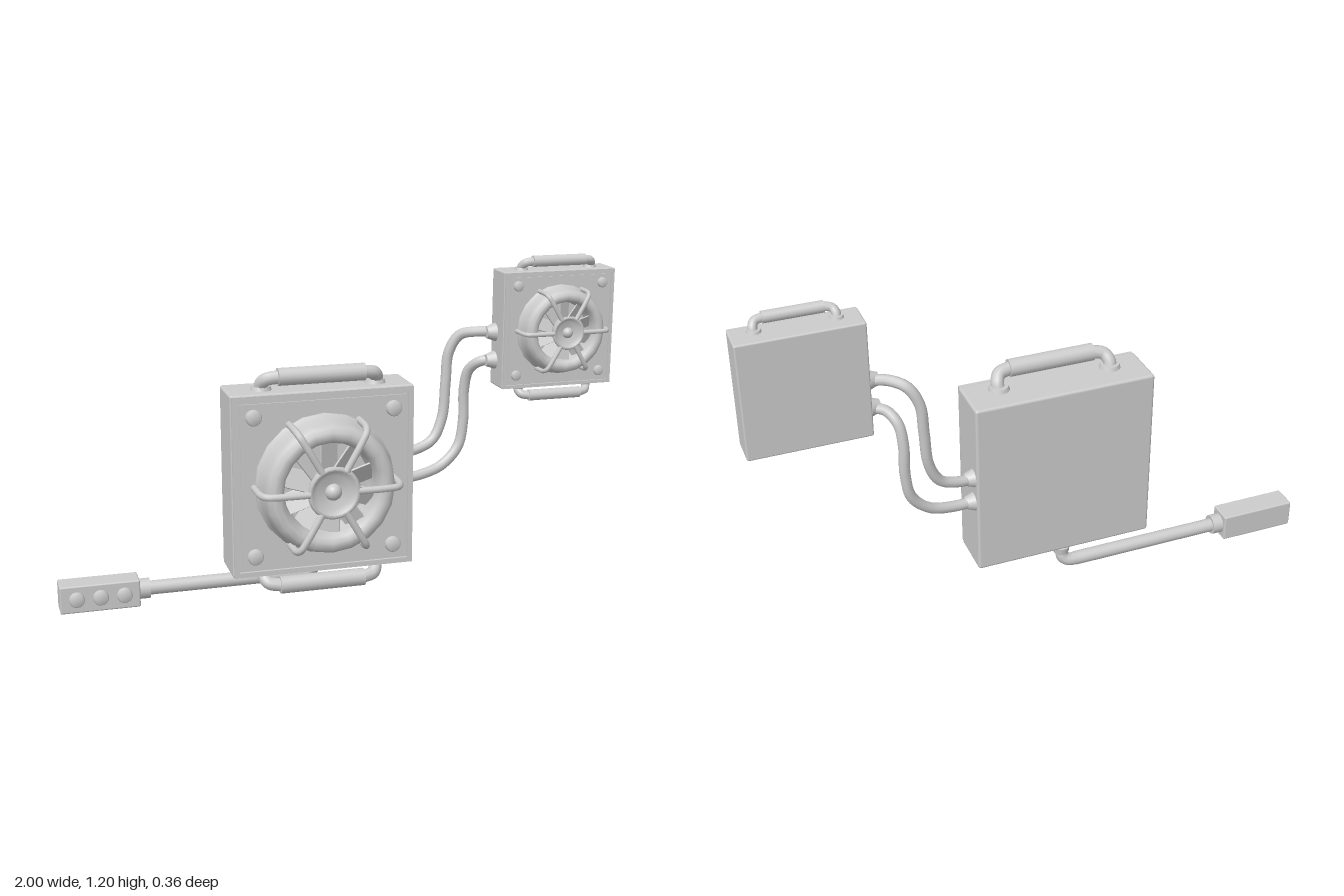
import * as THREE from 'three';
import { RoundedBoxGeometry } from 'three/addons/geometries/RoundedBoxGeometry.js';

const grey = new THREE.MeshStandardMaterial({ color: 0xcccccc });
const doubleGrey = new THREE.MeshStandardMaterial({ color: 0xcccccc, side: THREE.DoubleSide });
const V = (x, y, z) => new THREE.Vector3(x, y, z);

function add(parent, name, geometry, x = 0, y = 0, z = 0, material = grey) {
  const mesh = new THREE.Mesh(geometry, material);
  mesh.name = name;
  mesh.position.set(x, y, z);
  parent.add(mesh);
  return mesh;
}

const tube = (points, radius, steps = 32) =>
  new THREE.TubeGeometry(new THREE.CatmullRomCurve3(points), steps, radius, 10);

// Lathe turned so that its axis points along +z; profile given as [radius, z]
const latheZ = (profile, sides) =>
  new THREE.LatheGeometry(profile.map(([r, z]) => new THREE.Vector2(r, z)), sides).rotateX(Math.PI / 2);

const disc = (radius, depth) => latheZ(
  [[radius, 0], [radius, depth * 0.6], [radius * 0.8, depth], [0, depth]], 16);

const squarePath = (Path, s) => new Path(
  [[-s, -s], [s, -s], [s, s], [-s, s]].map(([x, y]) => new THREE.Vector2(x, y)));

// Lean-forward carrying handle on the upper face
function makeHandle() {
  const handle = new THREE.Group();
  handle.name = 'handle';
  const grip = new THREE.CylinderGeometry(0.031, 0.031, 0.31, 16).rotateZ(Math.PI / 2);
  add(handle, 'grip', grip, 0, 0.378, 0.056);
  for (const s of [-1, 1]) {
    add(handle, 'handleElbow', tube([
      V(s * 0.205, 0.32, 0.014), V(s * 0.207, 0.348, 0.026),
      V(s * 0.192, 0.37, 0.046), V(s * 0.15, 0.378, 0.056)], 0.024, 16));
    add(handle, 'handleFoot', new THREE.CylinderGeometry(0.033, 0.038, 0.014, 16), s * 0.205, 0.335, 0.016);
  }
  return handle;
}

// Housing with a framed panel, caged fan and two handles
function makeFanUnit(name) {
  const unit = new THREE.Group();
  unit.name = name;
  const half = 0.328;
  add(unit, 'housing', new RoundedBoxGeometry(half * 2, half * 2, 0.178, 2, 0.01), 0, 0, -0.005);

  // Raised frame and inner panel
  const frame = squarePath(THREE.Shape, half - 0.004);
  frame.holes.push(squarePath(THREE.Path, half - 0.022));
  add(unit, 'frontFrame', new THREE.ExtrudeGeometry(frame, { depth: 0.014, bevelEnabled: false }), 0, 0, 0.08);
  add(unit, 'frontPanel', new THREE.BoxGeometry(0.592, 0.592, 0.012), 0, 0, 0.084);
  for (const x of [-0.25, 0.25])
    for (const y of [-0.25, 0.25])
      add(unit, 'panelBolt', disc(0.028, 0.024), x, y, 0.089);

  // Shroud around the fan
  add(unit, 'fanShroud', latheZ([
    [0.25, 0.088], [0.25, 0.104], [0.236, 0.11], [0.234, 0.165], [0.225, 0.192],
    [0.208, 0.206], [0.188, 0.206], [0.172, 0.196], [0.163, 0.165], [0.158, 0.09]], 20),
    0, 0, 0, doubleGrey);

  // Pitched blades
  for (let i = 0; i < 10; i++) {
    const arm = new THREE.Group();
    arm.name = 'fanBladeArm';
    arm.rotation.z = (i + 0.5) * Math.PI / 5;
    add(arm, 'fanBlade', new THREE.BoxGeometry(0.1, 0.075, 0.007), 0.112, 0, 0.15).rotation.x = 0.5;
    unit.add(arm);
  }

  // Dished hub with a central cap
  add(unit, 'fanHub', latheZ([
    [0.07, 0.09], [0.075, 0.19], [0.09, 0.208], [0.094, 0.222], [0.088, 0.23],
    [0.078, 0.228], [0.06, 0.212], [0, 0.204]], 24));
  add(unit, 'hubCap', new THREE.SphereGeometry(0.03, 16, 10), 0, 0, 0.207);

  // Bent guard bars
  for (let i = 0; i < 6; i++) {
    const bar = tube([V(0.25, 0, 0.085), V(0.25, 0, 0.13), V(0.246, 0, 0.185),
      V(0.232, 0, 0.21), V(0.2, 0, 0.219), V(0.085, 0, 0.222)], 0.0125);
    add(unit, 'guardBar', bar).rotation.z = i * Math.PI / 3;
  }

  // Handles above and below
  const top = makeHandle();
  const bottom = makeHandle();
  // Half turn about z puts the second handle underneath
  bottom.rotation.z = Math.PI;
  unit.add(top, bottom);
  return unit;
}

// Conical cable socket on a side face, narrowing towards direction dir on x
function addSocket(parent, x, y, z, dir) {
  const cone = new THREE.CylinderGeometry(0.021, 0.034, 0.035, 16).rotateZ(-dir * Math.PI / 2);
  add(parent, 'cableSocket', cone, x + dir * 0.015, y, z);
}

function makeController() {
  const control = new THREE.Group();
  control.name = 'controller';
  add(control, 'controlBox', new RoundedBoxGeometry(0.28, 0.1, 0.09, 2, 0.006), -0.86, 0.053, -0.135);
  for (const x of [-0.942, -0.859, -0.776])
    add(control, 'button', disc(0.027, 0.023), x, 0.055, -0.092);
  add(control, 'ferrule', new THREE.CylinderGeometry(0.036, 0.036, 0.04, 16).rotateZ(Math.PI / 2), -0.702, 0.054, -0.135);
  add(control, 'stem', new THREE.CylinderGeometry(0.025, 0.025, 0.56, 16).rotateZ(Math.PI / 2), -0.41, 0.054, -0.136);
  add(control, 'stemElbow', tube([V(-0.135, 0.054, -0.136), V(-0.105, 0.056, -0.135),
    V(-0.085, 0.07, -0.128), V(-0.08, 0.1, -0.122), V(-0.08, 0.125, -0.12)], 0.024, 16));
  add(control, 'stemSocket', new THREE.CylinderGeometry(0.032, 0.028, 0.026, 16), -0.08, 0.104, -0.121);
  return control;
}

export function createModel() {
  const model = new THREE.Group();
  model.name = 'twinFanAssembly';

  const large = makeFanUnit('largeFanUnit');
  large.position.set(-0.083, 0.445, -0.056);
  const small = makeFanUnit('smallFanUnit');
  small.position.set(0.788, 0.938, -0.038);
  small.scale.setScalar(0.64);
  model.add(large, small, makeController());

  // Two cables joining the fan units
  const cables = [
    [V(0.24, 0.485, -0.11), V(0.3, 0.49, -0.12), V(0.37, 0.52, -0.13), V(0.41, 0.6, -0.138),
      V(0.423, 0.73, -0.143), V(0.433, 0.84, -0.143), V(0.468, 0.905, -0.128),
      V(0.52, 0.922, -0.09), V(0.59, 0.922, -0.065)],
    [V(0.24, 0.388, -0.11), V(0.32, 0.393, -0.12), V(0.41, 0.42, -0.134), V(0.475, 0.485, -0.142),
      V(0.495, 0.58, -0.145), V(0.495, 0.7, -0.143), V(0.505, 0.775, -0.125),
      V(0.535, 0.812, -0.09), V(0.59, 0.82, -0.065)],
  ];
  for (const path of cables) {
    add(model, 'cable', tube(path, 0.019, 64));
    addSocket(model, 0.245, path[0].y, -0.11, 1);
    addSocket(model, 0.578, path[path.length - 1].y, -0.065, -1);
  }
  return model;
}
